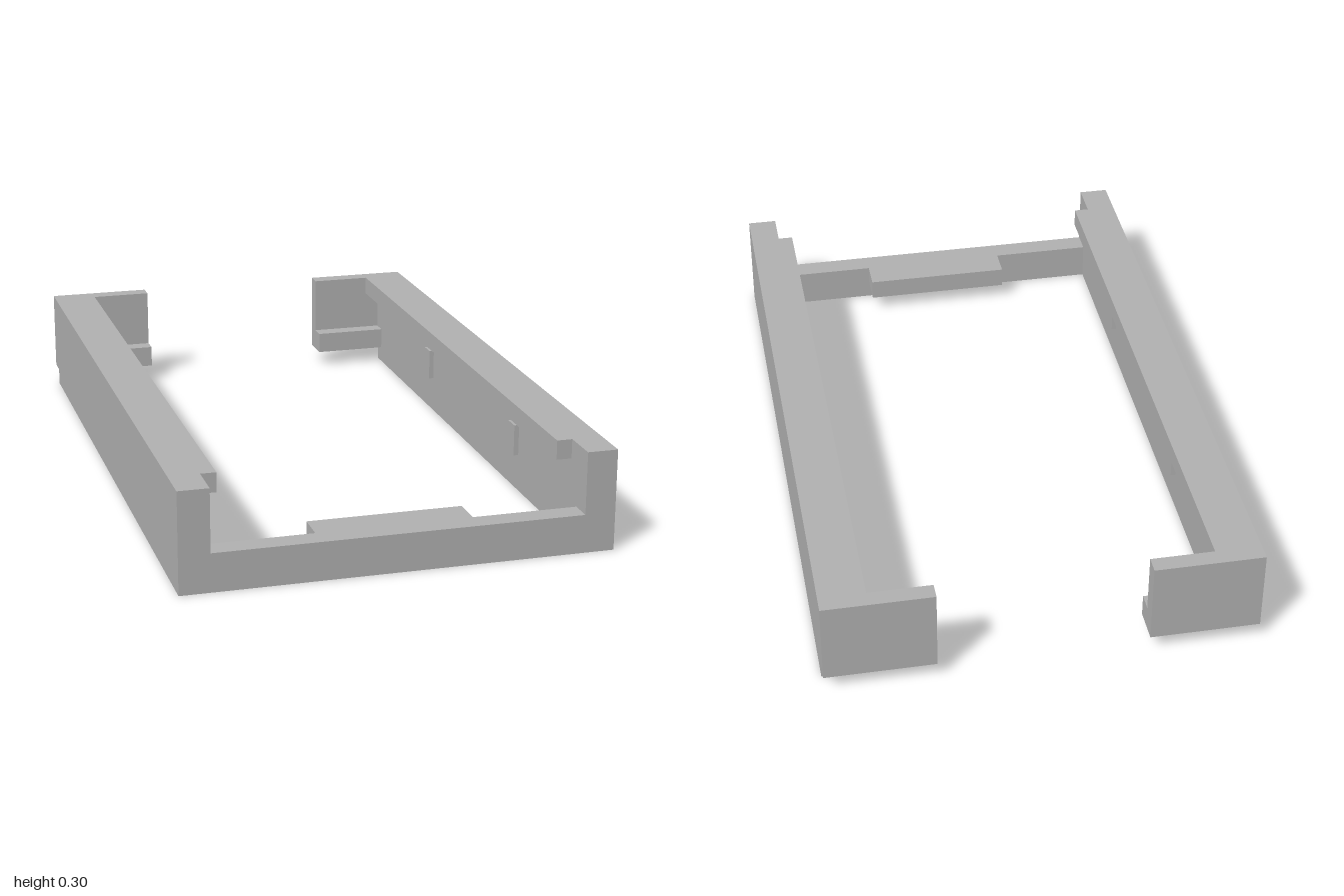
import * as THREE from 'three';

const OUT = 0.622;   // outer half width
const IN = 0.533;    // inner face of the side walls
const TOP = 0.297;   // full height
const BAR = 0.113;   // height of the front bar
const STEP = 0.05;   // height of the notch under the back

export function createModel() {
  const grey = new THREE.MeshStandardMaterial({ color: 0xb2b2b2 });
  grey.name = 'matte grey';
  const model = new THREE.Group();
  model.name = 'bracketFrame';

  const add = (name, geometry) => {
    const mesh = new THREE.Mesh(geometry, grey);
    mesh.name = name;
    model.add(mesh);
  };

  // Box given by its limits on each axis
  const box = (name, [x0, x1], [y0, y1], [z0, z1]) => {
    const g = new THREE.BoxGeometry(x1 - x0, y1 - y0, z1 - z0);
    g.translate((x0 + x1) / 2, (y0 + y1) / 2, (z0 + z1) / 2);
    add(name, g);
  };

  // Side wall outline (z, y) with the notch at the lower back corner
  const wall = new THREE.Shape([
    [-0.94, 0], [1, 0], [1, TOP], [-1, TOP], [-1, STEP], [-0.94, STEP],
  ].map(([z, y]) => new THREE.Vector2(z, y)));

  for (const [side, s] of [['left', 1], ['right', -1]]) {
    const span = (a, b) => (s > 0 ? [a, b] : [-b, -a]);

    const g = new THREE.ExtrudeGeometry(wall, { depth: OUT - IN, bevelEnabled: false });
    g.rotateY(-Math.PI / 2);
    g.translate(s > 0 ? OUT : -IN, 0, 0);
    add(side + 'Wall', g);

    // Overhanging lip along the top of the wall
    box(side + 'Lip', span(0.488, IN), [0.24, TOP], [-0.95, 0.885]);

    // Back corner return with a low inner ledge
    box(side + 'BackReturn', span(0.303, IN), [STEP, TOP], [-1, -0.95]);
    box(side + 'BackLedge', span(0.303, IN), [STEP, 0.117], [-0.95, -0.9]);

    // Small ribs on the inside of the wall
    for (const z of [0.45, -0.345]) {
      box(side + 'Rib', span(0.518, IN), [0.11, 0.205], [z - 0.025, z + 0.025]);
    }
  }

  // Front bar with its inward tab
  box('frontBar', [-IN, IN], [0, BAR], [0.933, 1]);
  box('frontTab', [-0.226, 0.226], [STEP, BAR], [0.842, 0.933]);

  return model;
}
